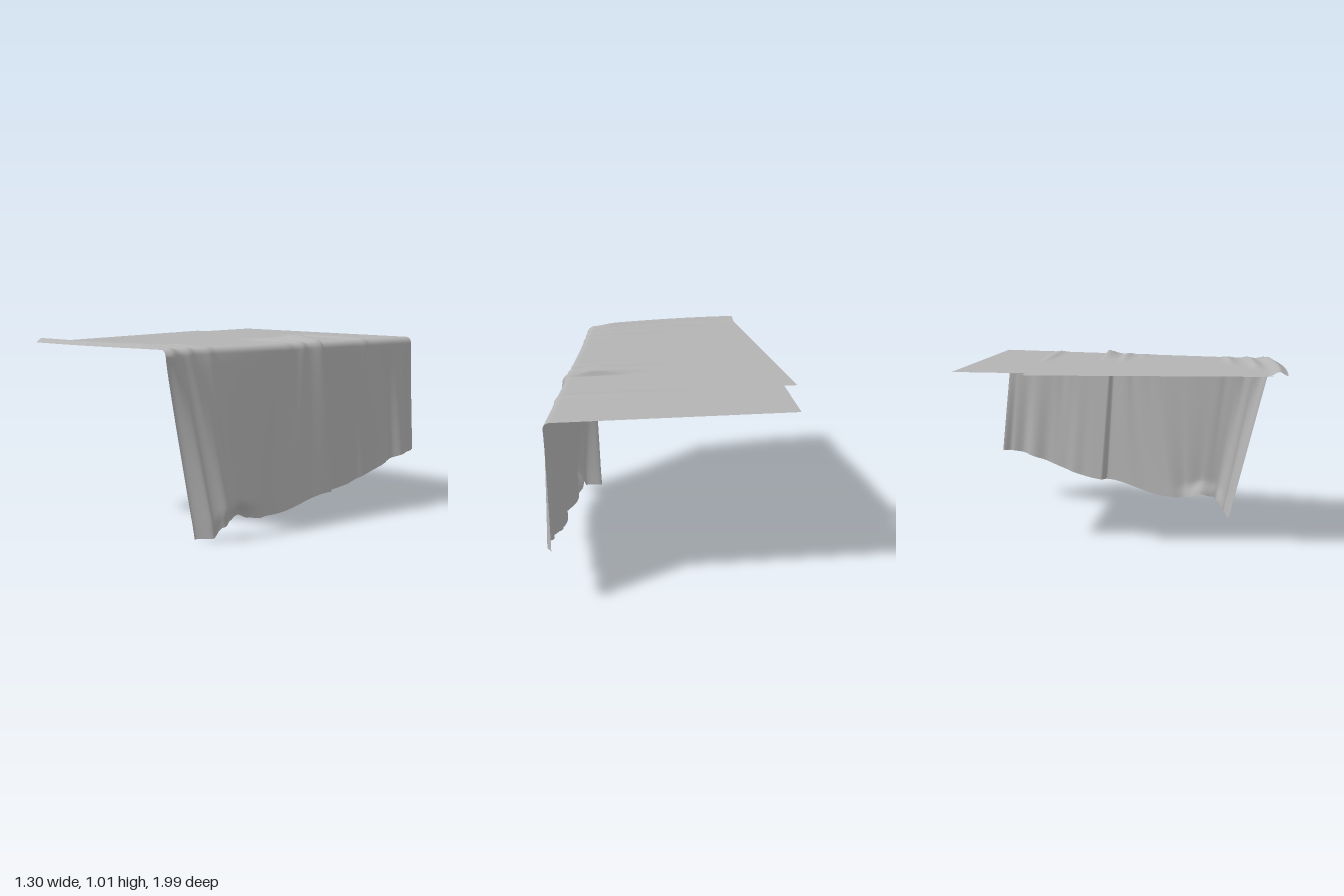
import * as THREE from 'three';

const Z0 = -0.94, Z1 = 0.74;   // length of the bend line
const R = 0.035;               // bend radius
const EDGE = 0.55, TOP = 0.977;

// smooth lookup in a short [key, value] table
function track(table, k, smooth = true) {
  let i = 0;
  while (i < table.length - 2 && k > table[i + 1][0]) i++;
  const [a, va] = table[i], [b, vb] = table[i + 1];
  let t = THREE.MathUtils.clamp((k - a) / (b - a), 0, 1);
  if (smooth) t = t * t * (3 - 2 * t);
  return va + (vb - va) * t;
}

// free edge of the flat part, with a notch
const leftX = [[-0.94, -0.65], [-0.557, -0.58], [-0.545, -0.65], [0.345, -0.395], [0.74, -0.28]];
// hem of the hanging part
const hemZ = [[-0.94, -1.0], [-0.24, -0.3], [0, 0.13], [0.4, 0.31], [0.6, 0.43], [0.74, 0.52]];
const hemY = [[-0.94, 0.32], [-0.24, 0.163], [-0.02, 0.085], [0.08, 0.08], [0.25, 0.09], [0.4, 0.115],
  [0.52, 0.1], [0.59, 0.07], [0.66, 0.015], [0.74, 0]];
const hemX = [[-0.94, 0.555], [-0.89, 0.59], [-0.82, 0.6], [-0.75, 0.585], [-0.6, 0.602], [-0.52, 0.59],
  [-0.27, 0.588], [-0.245, 0.625], [-0.13, 0.612], [0, 0.598], [0.2, 0.622], [0.4, 0.64], [0.55, 0.655],
  [0.65, 0.61], [0.74, 0.51]];

// wrinkles: line, height, width behind, width in front, x where it fades in
const wrinkles = [
  [-0.575, 0.011, 0.025, 0.03, -0.15],
  [-0.25, 0.034, 0.009, 0.05, 0.1],
  [-0.13, 0.014, 0.02, 0.03, 0.02],
  [-0.03, 0.006, 0.02, 0.04, 0.15],
  [0.48, 0.011, 0.025, 0.03, 0.0],
  [0.6, 0.016, 0.025, 0.03, -0.15],
  [0.7, 0.022, 0.03, 0.025, -0.9],
];
function height(k, x) {
  let h = 0;
  for (const [line, amp, back, front, start] of wrinkles) {
    const d = k - line;
    const fade = THREE.MathUtils.smoothstep(x, start, start + 0.4)
      * (1 - 0.55 * THREE.MathUtils.smoothstep(x, 0.42, 0.56));
    h += amp * fade * Math.exp(-((d / (d < 0 ? back : front)) ** 2));
  }
  return h;
}

// one cross-section of the cloth, from free edge over the bend to the hem
function section(k) {
  const pts = [], p = (k - Z0) / (Z1 - Z0);
  const lx = track(leftX, k, false), lz = -0.72 + 1.71 * p;
  for (let i = 0; i <= 44; i++) {
    const s = 1 - i / 44, x = EDGE + (lx - EDGE) * s;
    const bow = 0.03 * 4 * s * (1 - s) * p ** 6;
    pts.push([x, TOP + height(k, x), k + (lz - k) * s + bow]);
  }
  const h = height(k, EDGE);
  for (let i = 1; i <= 6; i++) {
    const a = (i / 6) * Math.PI / 2, r = R + h;
    pts.push([EDGE + r * Math.sin(a), TOP - R + r * Math.cos(a), k]);
  }
  const bx = track(hemX, k), by = track(hemY, k), bz = track(hemZ, k, false);
  const roll = 0.05 * Math.exp(-(((k - 0.38) / 0.2) ** 2));
  const ripple = 0.005 * Math.sin(k * 45) * THREE.MathUtils.smoothstep(-k, 0.3, 0.5);
  for (let i = 1; i <= 36; i++) {
    const t = i / 36, under = THREE.MathUtils.smoothstep(t, 0.9, 1);
    pts.push([
      THREE.MathUtils.lerp(EDGE + R + h, bx, t ** 0.75) + ripple * t - roll * under,
      THREE.MathUtils.lerp(TOP - R, by, t),
      THREE.MathUtils.lerp(k, bz, t),
    ]);
  }
  return pts;
}

function drape(columns) {
  const pos = [], index = [];
  let n = 0;
  for (let j = 0; j <= columns; j++) {
    const row = section(Z0 + (Z1 - Z0) * j / columns);
    n = row.length;
    row.forEach((q) => pos.push(...q));
  }
  for (let j = 0; j < columns; j++) {
    for (let i = 0; i < n - 1; i++) {
      const a = j * n + i, b = a + n;
      index.push(a, b, a + 1, a + 1, b, b + 1);
    }
  }
  const g = new THREE.BufferGeometry();
  g.setAttribute('position', new THREE.Float32BufferAttribute(pos, 3));
  g.setIndex(index);
  g.computeVertexNormals();
  return g;
}

export function createModel() {
  const group = new THREE.Group();
  group.name = 'drapedCloth';
  const cloth = new THREE.MeshStandardMaterial({ color: 0xb3b3b3, side: THREE.DoubleSide });
  cloth.name = 'greyCloth';

  const sheet = new THREE.Mesh(drape(260), cloth);
  sheet.name = 'clothSheet';
  group.add(sheet);

  // narrow edge turned under along the free side
  const flap = new THREE.Shape([
    new THREE.Vector2(-0.645, 0.31), new THREE.Vector2(-0.575, 0.32),
    new THREE.Vector2(-0.3, -0.8), new THREE.Vector2(-0.285, -0.96),
  ]);
  const fold = new THREE.Mesh(new THREE.ShapeGeometry(flap), cloth);
  fold.name = 'turnedEdge';
  fold.rotation.x = -Math.PI / 2;
  fold.position.y = TOP - 0.003;
  group.add(fold);
  return group;
}
